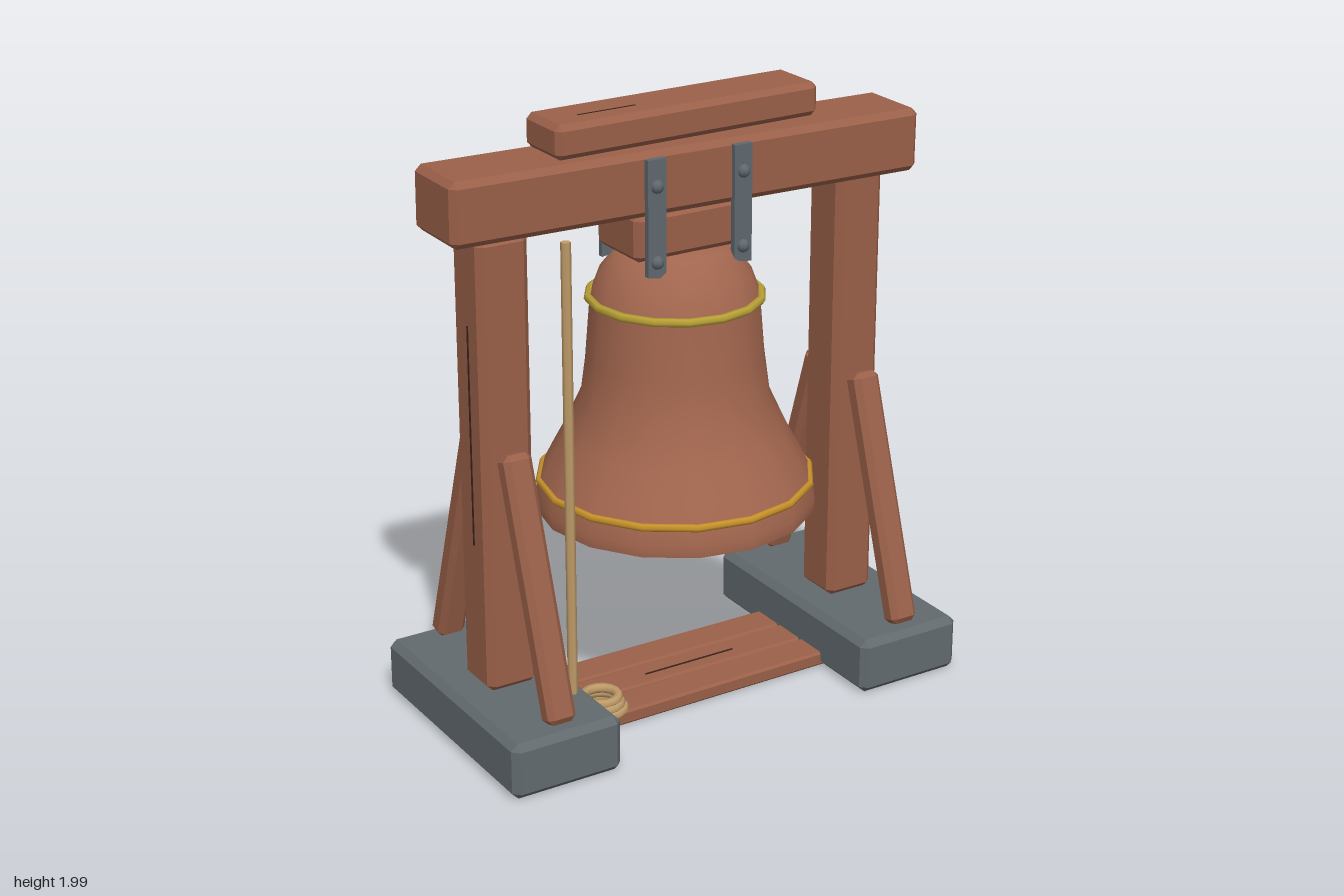
import * as THREE from 'three';
import { ConvexGeometry } from 'three/addons/geometries/ConvexGeometry.js';

const mat = (name, color, extra = {}) => new THREE.MeshStandardMaterial({ name, color, ...extra });

export function createModel() {
  const model = new THREE.Group();
  model.name = 'bellFrame';
  const wood = mat('wood', 0x9a6049);
  const bronze = mat('bronze', 0xa2664e);
  const stone = mat('stone', 0x626a6e);
  const iron = mat('iron', 0x5f686e);
  const upperGold = mat('paleGold', 0xb9a136);
  const lowerGold = mat('deepGold', 0xc8922a);
  const ropeTan = mat('rope', 0xc09c69);
  const dark = mat('bellInside', 0x0c0b0a);
  const crackDark = mat('crack', 0x3a241c);

  const add = (name, geometry, material, pos = [0, 0, 0], rot = [0, 0, 0], parent = model) => {
    const mesh = new THREE.Mesh(geometry, material);
    mesh.name = name;
    mesh.position.set(...pos);
    mesh.rotation.set(...rot);
    parent.add(mesh);
    return mesh;
  };

  // Box with every edge chamfered by c
  const chamferBox = (w, h, d, c) => {
    const pts = [];
    for (const x of [-1, 1]) for (const y of [-1, 1]) for (const z of [-1, 1])
      for (let k = 0; k < 3; k++) {
        const inset = [0, 1, 2].map((i) => (i === k ? 0 : c));
        pts.push(new THREE.Vector3(x * (w / 2 - inset[0]), y * (h / 2 - inset[1]), z * (d / 2 - inset[2])));
      }
    return new ConvexGeometry(pts);
  };

  const lathe = (pts) => new THREE.LatheGeometry(pts.map(([r, y]) => new THREE.Vector2(r, y)), 16);

  // Stone feet, posts and sloping braces
  for (const s of [-1, 1]) {
    const side = s > 0 ? 'left' : 'right';
    add(side + 'Foot', chamferBox(0.382, 0.188, 0.86, 0.022), stone, [s * 0.647, 0.104, 0]);
    add(side + 'Post', chamferBox(0.175, 1.49, 0.175, 0.022), wood, [s * 0.647, 0.94, 0]);
    for (const f of [-1, 1])
      add(side + (f > 0 ? 'FrontBrace' : 'BackBrace'), chamferBox(0.097, 0.84, 0.075, 0.018), wood,
        [s * 0.647, 0.605, f * 0.242], [-f * 0.311, 0, 0]);
  }

  // Beam, cap and headstock
  const beam = add('beam', chamferBox(1.66, 0.205, 0.256, 0.02), wood, [0, 1.775, 0.002], [0, -0.012, -0.008]);
  const cap = add('cap', chamferBox(0.932, 0.108, 0.205, 0.018), wood, [-0.003, 1.944, 0], [0, 0, 0.006]);
  add('headstock', chamferBox(0.425, 0.15, 0.24, 0.018), wood, [0, 1.605, 0]);

  // Iron straps with round bolts
  const strapShape = new THREE.Shape([[-0.032, 0.19], [-0.032, -0.18], [0.032, -0.19], [0.032, 0.19]]
    .map(([x, y]) => new THREE.Vector2(x, y)));
  const strapGeo = new THREE.ExtrudeGeometry(strapShape, { depth: 0.02, bevelEnabled: false });
  const boltGeo = new THREE.SphereGeometry(0.022, 8, 6);
  for (const f of [0, 1]) for (const s of [-1, 1]) {
    const strap = new THREE.Group();
    strap.name = 'strap';
    strap.rotation.y = f * Math.PI;
    model.add(strap);
    add('strapPlate', strapGeo, iron, [s * 0.155, 1.67, 0.128], [0, 0, 0], strap);
    for (const y of [1.535, 1.775]) add('bolt', boltGeo, iron, [s * 0.155, y, 0.146], [0, 0, 0], strap);
  }

  // Bell: smooth body, crown, lip, dark hollow
  add('bellBody', lathe([[0.44, 0.755], [0.408, 0.82], [0.36, 0.91], [0.305, 1.03], [0.286, 1.17], [0.27, 1.365]]), bronze);
  add('bellCrown', lathe([[0.27, 1.365], [0.242, 1.44], [0.175, 1.525], [0, 1.54]]), bronze);
  add('bellLip', lathe([[0.452, 0.66], [0.456, 0.7], [0.44, 0.755]]), bronze);
  add('bellRim', lathe([[0.415, 0.66], [0.452, 0.66]]), bronze);
  add('bellHollow', lathe([[0, 1.47], [0.2, 1.43], [0.24, 1.34], [0.27, 1.03], [0.37, 0.82], [0.415, 0.66]]), dark);
  add('upperBand', new THREE.TorusGeometry(0.274, 0.014, 6, 16), upperGold, [0, 1.364, 0], [Math.PI / 2, 0, 0]);
  add('lowerBand', new THREE.TorusGeometry(0.438, 0.013, 6, 16), lowerGold, [0, 0.755, 0], [Math.PI / 2, 0, 0]);

  // Clapper
  add('clapperRod', new THREE.CylinderGeometry(0.027, 0.027, 0.9, 8), iron, [0, 1.02, 0]);
  const ball = new THREE.SphereGeometry(0.072, 8, 5).toNonIndexed();
  ball.computeVertexNormals();
  add('clapperBall', ball, iron, [0, 0.533, 0]);

  // Floor planks
  for (let i = -1; i <= 1; i++)
    add('floorPlank', chamferBox(0.98, 0.05, 0.122, 0.008), wood, [0, 0.037, i * 0.128], [0, 0, i * 0.004]);

  // Hanging rope and coil
  add('rope', new THREE.CylinderGeometry(0.016, 0.016, 1.49, 6), ropeTan, [-0.51, 0.937, 0.213]);
  for (const [r, y, x] of [[0.073, 0.078, -0.37], [0.066, 0.098, -0.375], [0.056, 0.118, -0.372]])
    add('ropeCoil', new THREE.TorusGeometry(r, 0.016, 6, 14), ropeTan, [x, y, 0.15], [Math.PI / 2, 0, 0]);

  // Weathering cracks
  const crack = (w, h, d, pos, parent) =>
    add('crack', new THREE.BoxGeometry(w, h, d), crackDark, pos, [0, 0, 0], parent);
  crack(0.003, 0.72, 0.008, [0.735, 1.04, -0.008]);
  crack(0.003, 0.72, 0.008, [-0.735, 1.04, 0.008]);
  crack(0.48, 0.003, 0.006, [-0.2, 0.103, -0.115], beam);
  crack(0.2, 0.003, 0.005, [-0.25, 0.054, 0.02], cap);
  crack(0.34, 0.003, 0.006, [0.05, 0.063, 0.01]);
  crack(0.006, 0.003, 0.11, [-0.55, 0.199, 0.185]);
  return model;
}
